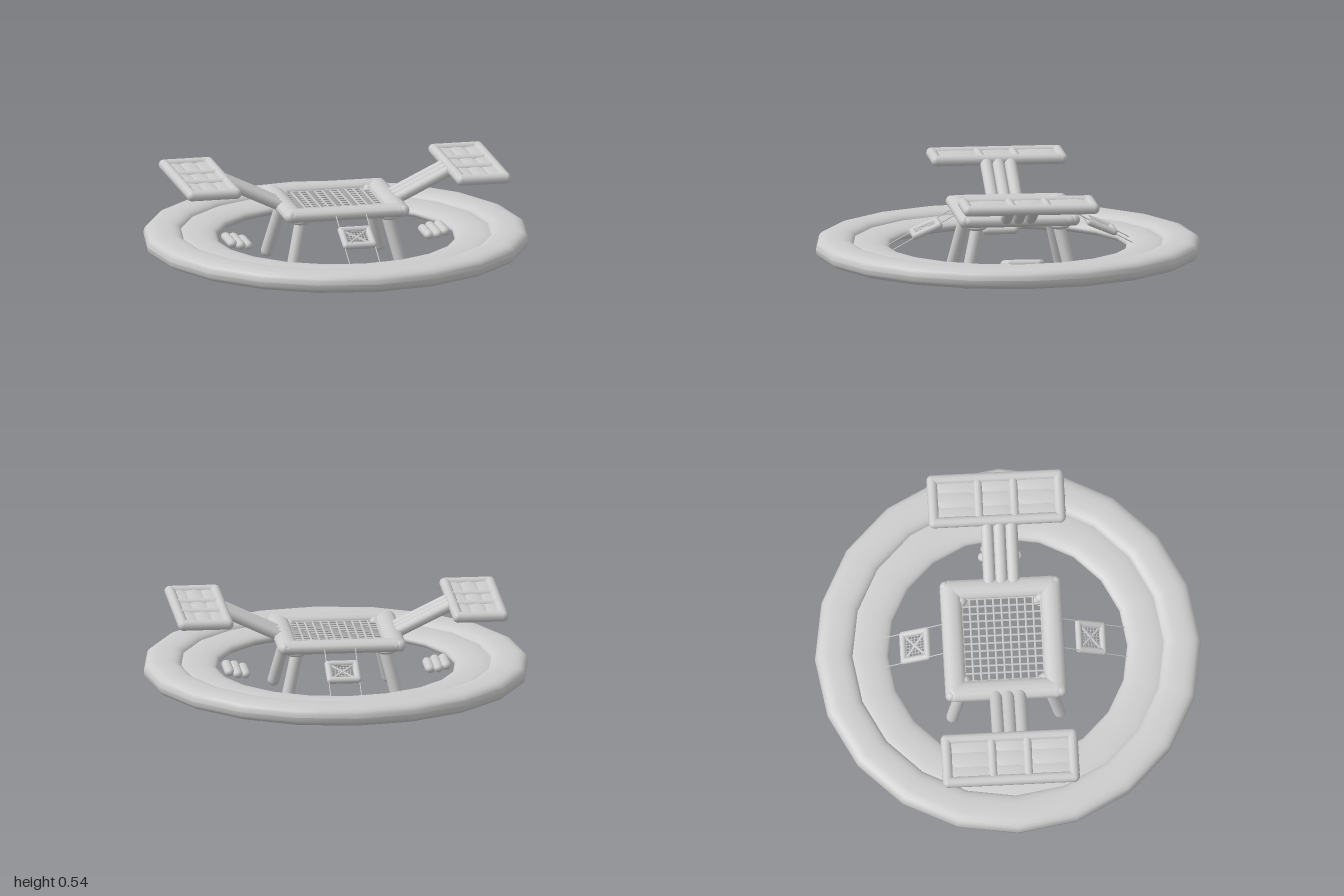
import * as THREE from 'three';

const grey = new THREE.MeshStandardMaterial({ color: 0xcccccc });
const V = (x, y, z) => new THREE.Vector3(x, y, z);

function add(parent, geometry, name) {
  const mesh = new THREE.Mesh(geometry, grey);
  mesh.name = name;
  parent.add(mesh);
  return mesh;
}

// Round-ended tube whose overall length runs from a to b; flat squashes it in y
function bar(parent, name, a, b, r, flat = 1) {
  const dir = b.clone().sub(a);
  const geo = new THREE.CapsuleGeometry(r, Math.max(dir.length() - 2 * r, 0.001), 4, 12);
  geo.applyQuaternion(new THREE.Quaternion().setFromUnitVectors(V(0, 1, 0), dir.normalize()));
  geo.scale(1, flat, 1);
  return Object.assign(add(parent, geo, name), { position: undefined }, {}) && parent;
}

// Same tube, placed at its midpoint
function tube(parent, name, a, b, r, flat = 1) {
  const dir = b.clone().sub(a);
  const geo = new THREE.CapsuleGeometry(r, Math.max(dir.length() - 2 * r, 0.001), 4, 12);
  geo.applyQuaternion(new THREE.Quaternion().setFromUnitVectors(V(0, 1, 0), dir.normalize()));
  geo.scale(1, flat, 1);
  const mesh = add(parent, geo, name);
  mesh.position.copy(a).add(b).multiplyScalar(0.5);
  return mesh;
}

// Thin straight cord
function cord(parent, name, a, b, r) {
  const dir = b.clone().sub(a);
  const mesh = add(parent, new THREE.CylinderGeometry(r, r, dir.length(), 6), name);
  mesh.position.copy(a).add(b).multiplyScalar(0.5);
  mesh.quaternion.setFromUnitVectors(V(0, 1, 0), dir.normalize());
}

// Rectangle of four tubes, w by d over the outside
function frame(parent, name, w, d, r, flat = 1) {
  const x = w / 2, z = d / 2;
  for (const s of [-1, 1]) {
    tube(parent, name, V(s * (x - r), 0, -z), V(s * (x - r), 0, z), r, flat);
    tube(parent, name, V(-x, 0, s * (z - r)), V(x, 0, s * (z - r)), r, flat);
  }
}

// Crossed cords filling w by d
function net(parent, name, w, d, nx, nz, r) {
  for (let i = 0; i <= nx; i++) {
    const x = (i / nx - 0.5) * w;
    cord(parent, name, V(x, 0, -d / 2), V(x, 0, d / 2), r);
  }
  for (let i = 0; i <= nz; i++) {
    const z = (i / nz - 0.5) * d;
    cord(parent, name, V(-w / 2, 0, z), V(w / 2, 0, z), r);
  }
}

// Twenty-sided ring with a squashed, rounded cross-section
function ring(parent, name, radius, halfWidth, y, halfHeight, power) {
  const profile = [];
  const bend = (v) => Math.sign(v) * Math.abs(v) ** power;
  for (let i = 0; i <= 24; i++) {
    const t = (i / 24) * Math.PI * 2;
    profile.push(new THREE.Vector2(radius + halfWidth * bend(Math.cos(t)), y + halfHeight * bend(Math.sin(t))));
  }
  add(parent, new THREE.LatheGeometry(profile, 20), name);
}

function group(parent, name, x, y, z) {
  const g = new THREE.Group();
  g.name = name;
  g.position.set(x, y, z);
  parent.add(g);
  return g;
}

export function createModel() {
  const model = new THREE.Group();
  model.name = 'floatingPlatform';
  const midZ = -0.025;

  // Floating ring: a fat outer tube and a flatter inner one
  ring(model, 'outerRing', 0.9, 0.1, 0.165, 0.054, 0.75);
  ring(model, 'innerRing', 0.73, 0.113, 0.162, 0.035, 0.9);

  // Central deck: padded border around a net
  const deck = group(model, 'deck', 0, 0.352, midZ);
  frame(deck, 'deckBorder', 0.67, 0.63, 0.056, 0.62);
  net(deck, 'deckNet', 0.45, 0.41, 11, 10, 0.006);

  // Splayed legs with a collar under each deck corner
  for (const sx of [-1, 1]) for (const sz of [-1, 1]) {
    tube(model, 'leg', V(sx * 0.215, 0.37, midZ + sz * 0.2), V(sx * 0.305, 0, midZ + sz * 0.285), 0.032);
    const collar = add(model, new THREE.SphereGeometry(0.056, 16, 10), 'legCollar');
    collar.scale.y = 0.4;
    collar.position.set(sx * 0.235, 0.315, midZ + sz * 0.215);
    const knob = add(model, new THREE.SphereGeometry(0.03, 12, 8), 'cornerKnob');
    knob.position.set(sx * 0.3, 0.352, midZ + sz * 0.285);
  }

  for (const s of [-1, 1]) {
    // Three-tube arm rising to the side panel
    for (let i = -1; i <= 1; i++) {
      tube(model, 'arm', V(s * 0.29, 0.338, -0.017 + i * 0.063), V(s * 0.62, 0.525, -0.017 + i * 0.063), 0.032, 0.85);
    }

    // Side panel: border, two cross tubes and quilted padding
    const panel = group(model, 'sidePanel', s * 0.715, 0.508, midZ);
    frame(panel, 'panelBorder', 0.29, 0.71, 0.028);
    for (const e of [-1, 1]) {
      tube(panel, 'panelCrossTube', V(-0.13, 0, e * 0.092), V(0.13, 0, e * 0.092), 0.024);
    }
    for (const [z, length] of [[-0.21, 0.24], [0, 0.19], [0.21, 0.24]]) {
      for (let i = -1; i <= 1; i++) {
        const pad = add(panel, new THREE.SphereGeometry(1, 16, 10), 'panelPad');
        pad.scale.set(0.055, 0.014, length * 0.62);
        pad.position.set(i * 0.08, 0, z);
      }
      add(panel, new THREE.BoxGeometry(0.25, 0.014, length), 'panelSheet').position.z = z;
    }

    // Step of three short floats beside the ring
    for (let i = 0; i < 3; i++) {
      const half = [0.095, 0.115, 0.1][i];
      const x = s * (0.48 + i * 0.042), y = 0.16 + i * 0.008;
      tube(model, 'stepFloat', V(x, y, -0.015 - half), V(x, y, -0.015 + half), 0.026, 0.85);
    }

    // Small sloping seat hung on two cords, front and back
    const seat = group(model, 'hangingSeat', 0.015, 0.27, midZ + s * 0.455);
    seat.rotation.x = s * 0.4;
    frame(seat, 'seatBorder', 0.18, 0.17, 0.018);
    net(seat, 'seatNet', 0.14, 0.13, 9, 8, 0.002);
    for (const e of [-1, 1]) {
      cord(seat, 'seatCross', V(-0.065, 0, -e * 0.06), V(0.065, 0, e * 0.06), 0.007);
      const x = 0.015 + e * 0.08;
      cord(model, 'seatCord', V(x, 0.36, midZ + s * 0.3), V(x, 0.17, midZ + s * 0.645), 0.003);
    }
  }

  return model;
}
